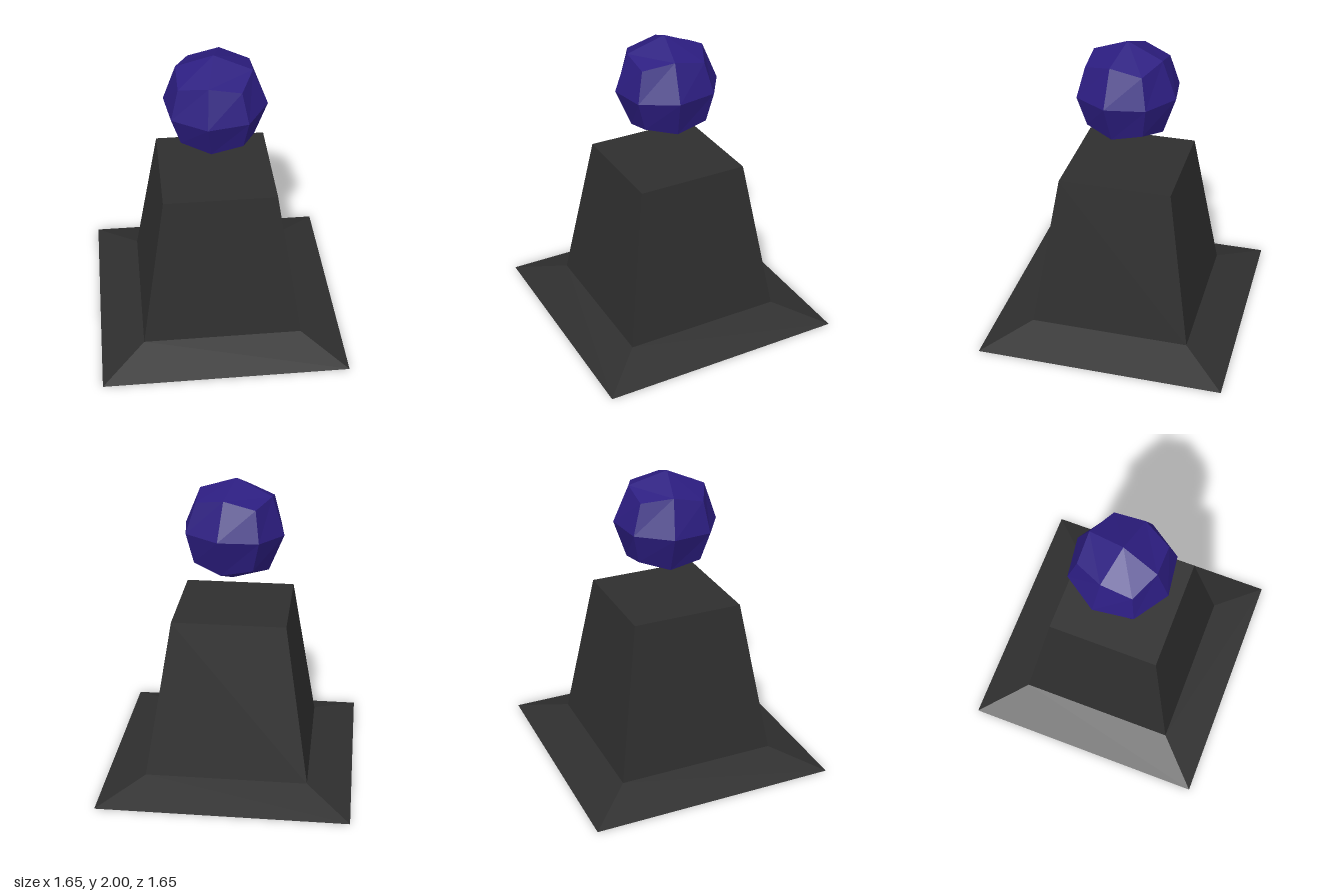
import * as THREE from 'three';

const stone = new THREE.MeshStandardMaterial({ color: 0x2e2e2e, flatShading: true, side: THREE.DoubleSide });
const gem = new THREE.MeshStandardMaterial({ color: 0x2c1d80, flatShading: true });

// Square shell swept through [half width, height] pairs
function squareShell(name, profile) {
  const points = profile.map(([half, y]) => new THREE.Vector2(half * Math.SQRT2, y));
  const mesh = new THREE.Mesh(new THREE.LatheGeometry(points, 4, Math.PI / 4), stone);
  mesh.name = name;
  return mesh;
}

// Ball made from a cube with 2 x 2 quads per face, pushed out to a sphere
function quadBall(faceRadius, otherRadius) {
  const geometry = new THREE.BoxGeometry(2, 2, 2, 2, 2, 2);
  const position = geometry.attributes.position;
  const v = new THREE.Vector3();
  for (let i = 0; i < position.count; i++) {
    v.fromBufferAttribute(position, i);
    const isFaceCentre = v.length() < 1.1;
    v.setLength(isFaceCentre ? faceRadius : otherRadius);
    position.setXYZ(i, v.x, v.y, v.z);
  }
  geometry.computeVertexNormals();
  return geometry;
}

export function createModel() {
  const model = new THREE.Group();
  model.name = 'pedestalWithFloatingOrb';

  // Thin sloping skirt, open underneath
  model.add(squareShell('baseSkirt', [[0.826, 0], [0.535, 0.1]]));

  // Hollow tapered pedestal, closed on top
  model.add(squareShell('pedestal', [[0.535, 0.1], [0.37, 1.14]]));
  const top = new THREE.Mesh(new THREE.PlaneGeometry(0.74, 0.74), stone);
  top.name = 'pedestalTop';
  top.rotation.x = -Math.PI / 2;
  top.position.y = 1.14;
  model.add(top);

  // Slightly tilted orb hovering above
  const orb = new THREE.Mesh(quadBall(0.3375, 0.3465), gem);
  orb.name = 'floatingOrb';
  orb.position.y = 1.6625;
  const deg = THREE.MathUtils.degToRad;
  orb.rotation.set(deg(2), deg(-13), deg(2));
  model.add(orb);

  return model;
}
